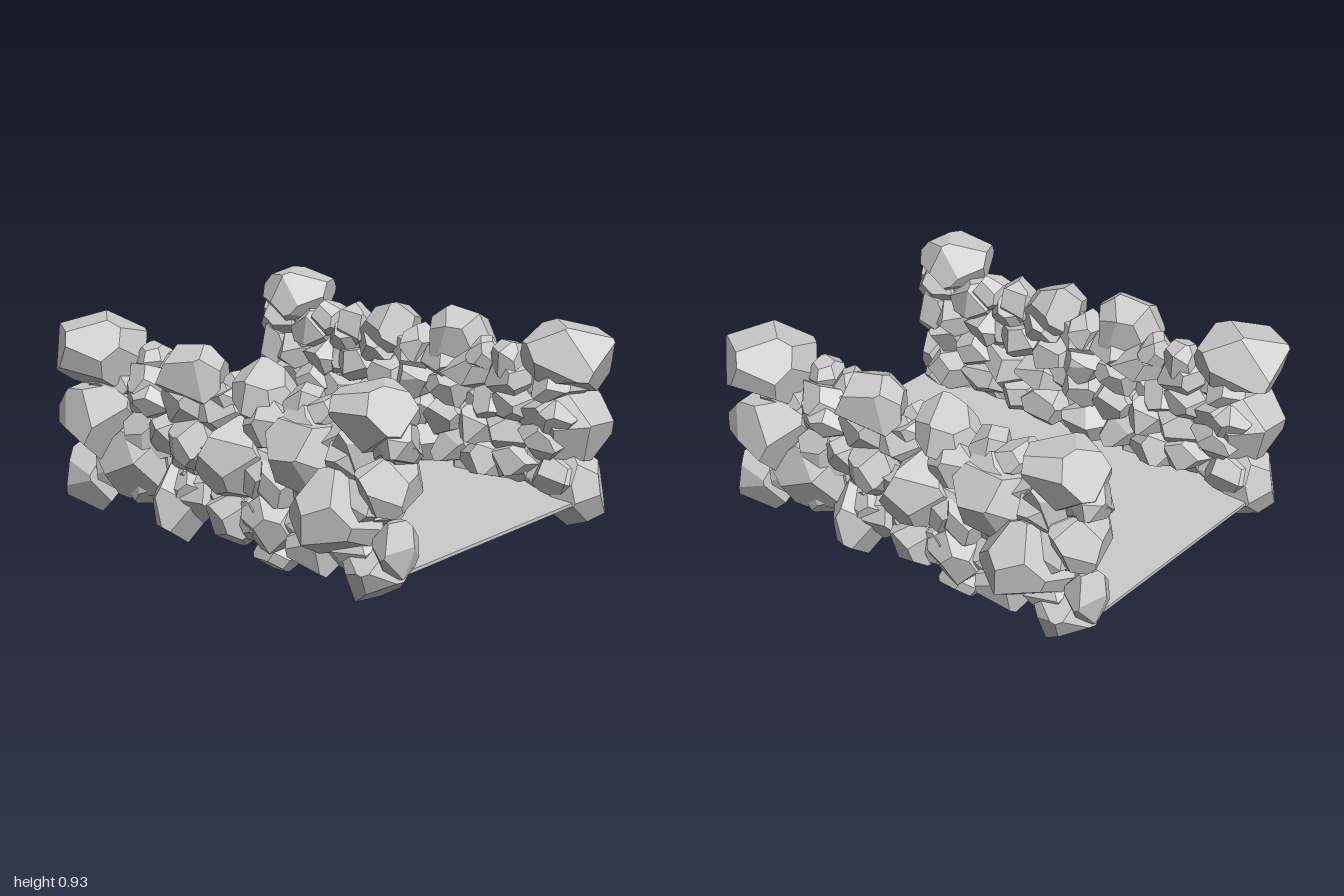
import * as THREE from 'three';
import { ConvexGeometry } from 'three/addons/geometries/ConvexGeometry.js';

const stone = new THREE.MeshStandardMaterial({ color: 0xcccccc, flatShading: true });

// Small seeded generator
let seed = 7;
function rnd() {
  seed = (seed * 16807) % 2147483647;
  return seed / 2147483647;
}
const spread = (a) => (rnd() * 2 - 1) * a;

// A faceted boulder: the solid cut out by jittered planes, fitted to a box of half sizes rx, ry, rz
function boulderGeometry(rx, ry, rz, facets) {
  const planes = [];
  for (let i = 0; i < facets; i++) {
    const y = 1 - (2 * (i + 0.5)) / facets;
    const a = i * 2.39996;
    const r = Math.sqrt(1 - y * y);
    const n = new THREE.Vector3(r * Math.cos(a) + spread(0.25), y + spread(0.25), r * Math.sin(a) + spread(0.25));
    planes.push(new THREE.Plane(n.normalize(), -(0.9 + rnd() * 0.2)));
  }
  // random turn so that no two boulders share an orientation
  const turn = new THREE.Euler(rnd() * 6, rnd() * 6, rnd() * 6);
  for (const p of planes) p.normal.applyEuler(turn);

  // corners are the plane triples' meeting points that lie inside all other planes
  const corners = [];
  const c = new THREE.Vector3();
  for (let i = 0; i < facets; i++) for (let j = i + 1; j < facets; j++) {
    const ij = new THREE.Vector3().crossVectors(planes[i].normal, planes[j].normal);
    for (let k = j + 1; k < facets; k++) {
      const det = ij.dot(planes[k].normal);
      if (Math.abs(det) < 1e-3) continue;
      const jk = new THREE.Vector3().crossVectors(planes[j].normal, planes[k].normal);
      const ki = new THREE.Vector3().crossVectors(planes[k].normal, planes[i].normal);
      c.set(0, 0, 0)
        .addScaledVector(jk, -planes[i].constant)
        .addScaledVector(ki, -planes[j].constant)
        .addScaledVector(ij, -planes[k].constant)
        .divideScalar(det);
      if (planes.every((p) => p.distanceToPoint(c) < 1e-5)) corners.push(c.clone());
    }
  }
  const box = new THREE.Box3().setFromPoints(corners);
  const mid = box.getCenter(new THREE.Vector3());
  const size = box.getSize(new THREE.Vector3());
  const fit = new THREE.Vector3(2 * rx, 2 * ry, 2 * rz).divide(size);
  return new ConvexGeometry(corners.map((p) => p.sub(mid).multiply(fit)));
}

function addBoulder(group, name, [x, y, z, rx, ry, rz], facets = 15) {
  const mesh = new THREE.Mesh(boulderGeometry(rx, ry, rz, facets), stone);
  mesh.name = name;
  mesh.position.set(x, y, z);
  group.add(mesh);
}

// Large boulders by course: x, y, z, then half width, height and depth
const topCourse = [
  [-0.79, 0.77, 0.66, 0.2, 0.16, 0.2],
  [-0.19, 0.77, 0.63, 0.16, 0.14, 0.14],
  [0.18, 0.75, 0.6, 0.15, 0.14, 0.14],
  [0.8, 0.78, 0.61, 0.18, 0.15, 0.16],
  [-0.54, 0.74, 0.55, 0.08, 0.09, 0.09],
  [-0.41, 0.74, 0.54, 0.08, 0.08, 0.08],
  [-0.01, 0.72, 0.55, 0.08, 0.09, 0.09],
  [0.38, 0.74, 0.57, 0.09, 0.1, 0.09],
  [0.54, 0.74, 0.57, 0.09, 0.09, 0.1],
  [0.92, 0.73, 0.61, 0.08, 0.11, 0.1],
];
const middleCourse = [
  [-0.77, 0.47, 0.66, 0.21, 0.18, 0.19],
  [-0.45, 0.62, 0.64, 0.14, 0.1, 0.12],
  [-0.33, 0.5, 0.66, 0.11, 0.09, 0.1],
  [-0.17, 0.49, 0.67, 0.12, 0.13, 0.11],
  [0.1, 0.47, 0.68, 0.17, 0.19, 0.17],
  [0.47, 0.56, 0.65, 0.19, 0.17, 0.14],
  [0.67, 0.4, 0.71, 0.2, 0.19, 0.17],
  [0.88, 0.54, 0.62, 0.12, 0.13, 0.16],
  [0.71, 0.62, 0.63, 0.11, 0.1, 0.12],
  [0.3, 0.42, 0.64, 0.12, 0.12, 0.1],
];
const bottomCourse = [
  [-0.86, 0.2, 0.63, 0.14, 0.19, 0.13],
  [-0.54, 0.31, 0.65, 0.21, 0.17, 0.13],
  [-0.3, 0.18, 0.66, 0.13, 0.18, 0.13],
  [-0.14, 0.24, 0.63, 0.1, 0.12, 0.1],
  [0.08, 0.21, 0.65, 0.14, 0.13, 0.12],
  [0.3, 0.26, 0.66, 0.14, 0.14, 0.12],
  [0.29, 0.1, 0.62, 0.11, 0.09, 0.09],
  [0.54, 0.2, 0.65, 0.13, 0.12, 0.11],
  [0.81, 0.17, 0.62, 0.16, 0.15, 0.14],
  [0.92, 0.27, 0.62, 0.08, 0.13, 0.11],
];

function buildWall() {
  const wall = new THREE.Group();
  topCourse.forEach((b) => addBoulder(wall, 'topBoulder', b));
  middleCourse.forEach((b) => addBoulder(wall, 'middleBoulder', b));
  bottomCourse.forEach((b) => addBoulder(wall, 'bottomBoulder', b));

  // Smaller rubble packed along the inner face, courses staggered
  for (let row = 0; row < 4; row++) {
    for (let i = 0; i < 9; i++) {
      const x = -0.8 + i * 0.2 + (row % 2 ? 0.03 : -0.03) + spread(0.03);
      const size = 0.11 + rnd() * 0.03;
      addBoulder(wall, 'innerRubble', [x, 0.27 + row * 0.135 + spread(0.02), 0.57 + spread(0.015), size, 0.1, 0.115], 13);
    }
  }
  // Filling between the large boulders
  for (let row = 0; row < 3; row++) {
    for (let i = 0; i < 7; i++) {
      const x = -0.72 + i * 0.24 + spread(0.04);
      addBoulder(wall, 'fillRubble', [x, 0.25 + row * 0.2, 0.64 + spread(0.02), 0.14, 0.12, 0.1], 13);
    }
  }
  return wall;
}

export function createModel() {
  const model = new THREE.Group();
  model.name = 'rockWalledPassage';

  // Thin floor slab between the walls
  const floor = new THREE.Mesh(new THREE.BoxGeometry(1.9, 0.015, 1.2), stone);
  floor.name = 'floor';
  floor.position.y = 0.172;
  model.add(floor);

  // Two equal walls, the second turned half round
  const frontWall = buildWall();
  frontWall.name = 'frontWall';
  const backWall = frontWall.clone();
  backWall.name = 'backWall';
  backWall.rotation.y = Math.PI;
  model.add(frontWall, backWall);
  return model;
}
